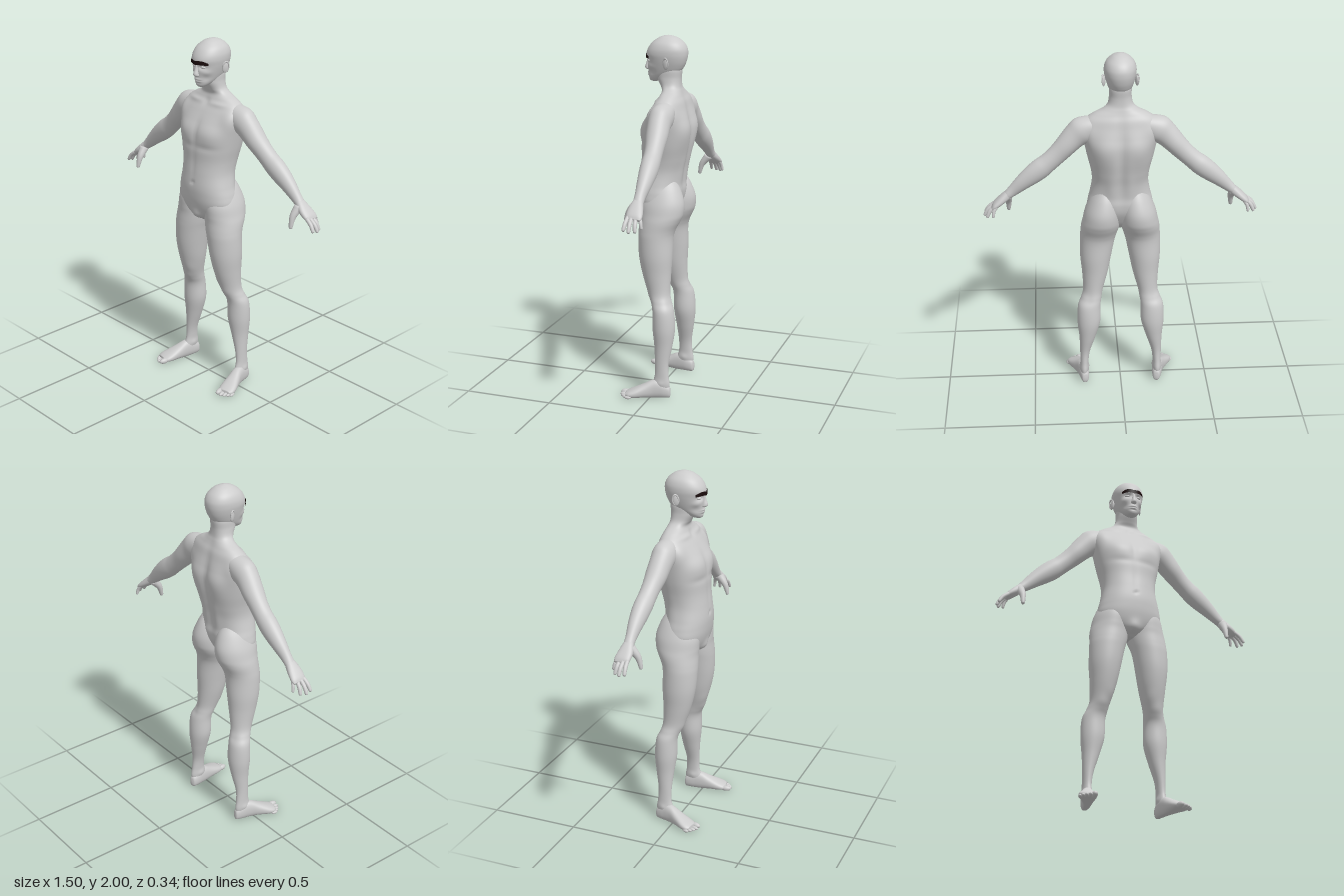
import * as THREE from 'three';

const V = (x, y, z) => new THREE.Vector3(x, y, z);
const UP = V(0, 1, 0), FRONT = V(0, 0, 1);

// Smooth skin through cross-sections [x, y, z, halfWidth, halfDepth] that all face `axis`, listed along it.
function loft(sections, { axis = UP, ref = FRONT, steps = 48, sides = 40, n = 2 } = {}) {
  const t = axis.clone().normalize();
  const u = V().crossVectors(t, ref).normalize();
  const v = V().crossVectors(u, t);
  const centres = new THREE.CatmullRomCurve3(sections.map(s => V(s[0], s[1], s[2])), false, 'catmullrom', 0.5);
  const radii = new THREE.CatmullRomCurve3(sections.map(s => V(s[3], s[4], 0)), false, 'catmullrom', 0.5);
  const pos = [], index = [];
  const bend = c => Math.sign(c) * Math.abs(c) ** (2 / n);
  for (let i = 0; i <= steps; i++) {
    const c = centres.getPoint(i / steps), r = radii.getPoint(i / steps);
    for (let j = 0; j < sides; j++) {
      const a = j / sides * Math.PI * 2;
      const p = c.clone().addScaledVector(u, bend(Math.cos(a)) * r.x).addScaledVector(v, bend(Math.sin(a)) * r.y);
      pos.push(p.x, p.y, p.z);
      if (i === steps) continue;
      const k = i * sides + j, m = i * sides + (j + 1) % sides;
      index.push(k, k + sides, m, m, k + sides, m + sides);
    }
  }
  // end caps
  const first = pos.length / 3, top = steps * sides;
  const a = centres.getPoint(0), b = centres.getPoint(1);
  pos.push(a.x, a.y, a.z, b.x, b.y, b.z);
  for (let j = 0; j < sides; j++) {
    const m = (j + 1) % sides;
    index.push(first, j, m, first + 1, top + m, top + j);
  }
  const g = new THREE.BufferGeometry();
  g.setAttribute('position', new THREE.Float32BufferAttribute(pos, 3));
  g.setIndex(index);
  g.computeVertexNormals();
  return g;
}

// Rows [y, x0, x1, zBack, zFront] to loft sections; rows [y, half, zBack, zFront] for centred parts.
const spans = rows => rows.map(([y, x0, x1, zb, zf]) => [(x0 + x1) / 2, y, (zb + zf) / 2, (x1 - x0) / 2, (zf - zb) / 2]);
const centred = rows => spans(rows.map(([y, h, zb, zf]) => [y, -h, h, zb, zf]));

// Push the surface along its normals by soft bumps [x, y, z, rx, ry, rz, amount], mirrored in x.
function sculpt(g, bumps) {
  const p = g.attributes.position, q = g.attributes.normal;
  for (let i = 0; i < p.count; i++) {
    const x = Math.abs(p.getX(i)), y = p.getY(i), z = p.getZ(i);
    let d = 0;
    for (const [bx, by, bz, rx, ry, rz, amount] of bumps)
      d += amount * Math.exp(-(((x - bx) / rx) ** 2) - ((y - by) / ry) ** 2 - ((z - bz) / rz) ** 2);
    p.setXYZ(i, p.getX(i) + q.getX(i) * d, y + q.getY(i) * d, z + q.getZ(i) * d);
  }
  g.computeVertexNormals();
  return g;
}

function mirrored(geometry) {
  const g = geometry.clone(), p = g.attributes.position, ix = g.index;
  for (let i = 0; i < p.count; i++) p.setX(i, -p.getX(i));
  for (let i = 0; i < ix.count; i += 3) {
    const s = ix.getX(i);
    ix.setX(i, ix.getX(i + 1));
    ix.setX(i + 1, s);
  }
  g.computeVertexNormals();
  return g;
}

const blob = (x, y, z, rx, ry, rz, turn = 0) =>
  new THREE.SphereGeometry(1, 20, 14).scale(rx, ry, rz).rotateY(turn).translate(x, y, z);

// Finger through three points, from radius `base` to radius r.
function finger(a, b, c, r, base = r) {
  const A = V(...a), C = V(...c), axis = C.clone().sub(A).normalize();
  const tip = C.clone().addScaledVector(axis, -r * 0.6), mid = (r * 2 + base) / 3;
  return loft([[...a, base, base], [...b, mid, mid], [tip.x, tip.y, tip.z, r * 0.8, r * 0.8], [...c, r * 0.15, r * 0.15]],
    { axis, steps: 16, sides: 16 });
}

export function createModel() {
  const skin = new THREE.MeshStandardMaterial({ color: 0xcccccc });
  skin.name = 'grey skin';
  const dark = new THREE.MeshStandardMaterial({ color: 0x1a0c0c, side: THREE.DoubleSide });
  dark.name = 'dark brow';
  const body = new THREE.Group();
  body.name = 'figure';
  const add = (name, g, material = skin) => {
    const m = new THREE.Mesh(g, material);
    m.name = name;
    body.add(m);
  };
  const pair = (name, g) => {
    add('left' + name, g);
    add('right' + name, mirrored(g));
  };

  // Torso and neck with chest, shoulder blades, spine and navel
  const torso = loft(centred([
    [0.98, 0.02, -0.03, 0.045], [1.01, 0.085, -0.06, 0.085], [1.05, 0.155, -0.085, 0.104], [1.1, 0.182, -0.108, 0.118],
    [1.15, 0.177, -0.116, 0.125], [1.2, 0.165, -0.113, 0.127], [1.27, 0.154, -0.122, 0.121], [1.34, 0.16, -0.14, 0.114],
    [1.42, 0.178, -0.156, 0.112], [1.5, 0.194, -0.161, 0.102], [1.56, 0.203, -0.15, 0.078], [1.61, 0.202, -0.138, 0.05],
    [1.65, 0.183, -0.128, 0.024], [1.68, 0.143, -0.115, 0.007], [1.705, 0.094, -0.106, 0.001], [1.73, 0.068, -0.099, 0.014],
    [1.77, 0.06, -0.097, 0.035], [1.81, 0.06, -0.101, 0.04], [1.84, 0.055, -0.1, 0.04],
  ]), { steps: 140, sides: 96, n: 2.25 });
  add('torso', sculpt(torso, [
    [0.085, 1.5, 0.09, 0.075, 0.06, 0.06, 0.011], [0, 1.5, 0.1, 0.018, 0.08, 0.05, -0.005],
    [0.08, 1.425, 0.11, 0.08, 0.018, 0.05, -0.004], [0.09, 1.5, -0.15, 0.06, 0.09, 0.06, 0.013],
    [0, 1.42, -0.15, 0.028, 0.24, 0.06, -0.012], [0, 1.22, 0.13, 0.01, 0.01, 0.04, -0.008],
    [0, 1.32, 0.12, 0.014, 0.08, 0.05, -0.003], [0.05, 1.25, -0.11, 0.03, 0.09, 0.05, 0.006],
    [0, 1.03, 0.09, 0.03, 0.03, 0.04, 0.012], [0.09, 1.655, 0.02, 0.06, 0.012, 0.04, 0.005],
    [0, 1.66, 0.02, 0.02, 0.02, 0.04, -0.006], [0.175, 1.59, 0.02, 0.04, 0.06, 0.05, 0.012],
    [0.175, 1.58, -0.12, 0.04, 0.06, 0.05, 0.01],
  ]));

  // Head with eye sockets, cheeks, lips and chin
  const head = loft(centred([
    [1.748, 0.008, 0.04, 0.066], [1.754, 0.024, 0.02, 0.077], [1.766, 0.038, -0.01, 0.083], [1.785, 0.052, -0.055, 0.087],
    [1.81, 0.063, -0.096, 0.088], [1.84, 0.073, -0.116, 0.09], [1.87, 0.081, -0.127, 0.092], [1.9, 0.086, -0.132, 0.096],
    [1.93, 0.084, -0.129, 0.086], [1.96, 0.071, -0.112, 0.064], [1.985, 0.044, -0.08, 0.03], [1.996, 0.02, -0.05, 0.002],
    [2.0, 0.003, -0.026, -0.02],
  ]), { steps: 100, sides: 72, n: 2.15 });
  add('head', sculpt(head, [
    [0.033, 1.864, 0.085, 0.02, 0.013, 0.03, -0.011], [0.048, 1.835, 0.065, 0.02, 0.016, 0.03, 0.004],
    [0, 1.796, 0.09, 0.02, 0.005, 0.03, 0.005], [0, 1.784, 0.09, 0.017, 0.005, 0.03, 0.004],
    [0, 1.79, 0.09, 0.022, 0.002, 0.03, -0.003], [0, 1.774, 0.088, 0.02, 0.005, 0.03, -0.003],
    [0.045, 1.8, 0.06, 0.02, 0.02, 0.03, -0.004],
  ]));
  add('nose', loft(centred([
    [1.81, 0.008, 0.07, 0.093], [1.816, 0.016, 0.07, 0.105], [1.827, 0.015, 0.07, 0.109],
    [1.85, 0.01, 0.07, 0.101], [1.875, 0.008, 0.07, 0.095], [1.893, 0.006, 0.07, 0.092],
  ]), { steps: 24, sides: 24 }));
  pair('Eyelid', blob(0.033, 1.863, 0.072, 0.015, 0.008, 0.01, 0.3));
  pair('Ear', blob(0.086, 1.854, -0.037, 0.007, 0.03, 0.018, -0.35));
  pair('EarRim', new THREE.TorusGeometry(0.017, 0.0035, 10, 28).scale(0.95, 1.65, 1)
    .rotateY(Math.PI / 2 - 0.4).rotateZ(-0.12).translate(0.09, 1.857, -0.039));

  // Dark brow band wrapped round the forehead
  const brow = new THREE.PlaneGeometry(0.13, 0.022, 32, 2), bp = brow.attributes.position;
  for (let i = 0; i < bp.count; i++) {
    const x = bp.getX(i), a = Math.abs(x);
    const arch = 0.005 * Math.sin(Math.min(a / 0.065, 1) * Math.PI) - 0.15 * Math.max(0, a - 0.045);
    bp.setXYZ(i, x, 1.885 + arch + bp.getY(i) * (1 - 0.4 * (a / 0.065) ** 4),
      -0.017 + 0.117 * (1 - (a / 0.087) ** 2.15) ** (1 / 2.15));
  }
  brow.computeVertexNormals();
  add('brow', brow, dark);

  // Arms from inside the shoulder to the wrist
  const along = V(0.78, -0.62, 0);
  pair('Arm', sculpt(loft([
    [0.07, 1.645, -0.058, 0.02, 0.03], [0.125, 1.622, -0.056, 0.053, 0.054], [0.192, 1.588, -0.055, 0.078, 0.065],
    [0.246, 1.551, -0.056, 0.067, 0.061], [0.326, 1.467, -0.066, 0.055, 0.051], [0.385, 1.412, -0.072, 0.052, 0.048],
    [0.43, 1.376, -0.075, 0.056, 0.049], [0.475, 1.341, -0.077, 0.053, 0.046], [0.53, 1.297, -0.078, 0.043, 0.038],
    [0.58, 1.252, -0.077, 0.032, 0.029], [0.61, 1.226, -0.077, 0.025, 0.028], [0.63, 1.21, -0.077, 0.018, 0.026],
  ], { axis: along, steps: 64 }), [[0.3, 1.49, -0.02, 0.05, 0.05, 0.03, 0.005], [0.28, 1.5, -0.115, 0.05, 0.05, 0.03, 0.004]]));

  // Hands: palm, four fingers and thumb
  pair('Palm', loft([
    [0.59, 1.243, -0.077, 0.02, 0.022], [0.615, 1.222, -0.076, 0.024, 0.03], [0.65, 1.193, -0.077, 0.022, 0.041],
    [0.68, 1.169, -0.081, 0.017, 0.043], [0.697, 1.155, -0.083, 0.008, 0.036],
  ], { axis: along, steps: 24, sides: 28, n: 2.3 }));
  [
    [0.683, 1.168, -0.05, 0.742, 1.106, -0.043], [0.688, 1.164, -0.07, 0.746, 1.099, -0.073],
    [0.682, 1.166, -0.091, 0.73, 1.099, -0.102], [0.67, 1.172, -0.11, 0.696, 1.11, -0.126],
  ].forEach(([ax, ay, az, cx, cy, cz], i) => pair('Finger' + (i + 1),
    finger([ax, ay, az], [(ax + cx) / 2 + 0.005, (ay + cy) / 2 + 0.004, (az + cz) / 2], [cx, cy, cz], i === 3 ? 0.0095 : 0.011)));
  pair('Thumb', finger([0.618, 1.212, -0.064], [0.611, 1.162, -0.024], [0.612, 1.1, -0.004], 0.013, 0.027));

  // Legs with buttock, kneecap, calf and ankle
  pair('Leg', sculpt(loft(spans([
    [0.04, 0.192, 0.232, -0.1, -0.01], [0.08, 0.187, 0.237, -0.107, -0.008], [0.13, 0.187, 0.235, -0.1, -0.02],
    [0.2, 0.177, 0.235, -0.098, -0.02], [0.3, 0.145, 0.238, -0.114, -0.012], [0.4, 0.117, 0.247, -0.125, 0.0],
    [0.5, 0.115, 0.243, -0.117, 0.002], [0.55, 0.108, 0.224, -0.1, 0.016], [0.6, 0.098, 0.211, -0.088, 0.038],
    [0.7, 0.07, 0.216, -0.088, 0.072], [0.8, 0.05, 0.225, -0.093, 0.093], [0.9, 0.03, 0.225, -0.094, 0.1],
    [0.95, 0.016, 0.222, -0.105, 0.1], [1.0, 0.003, 0.217, -0.13, 0.098], [1.04, 0.001, 0.208, -0.145, 0.1],
    [1.1, 0.002, 0.194, -0.147, 0.1], [1.17, 0.012, 0.165, -0.124, 0.08], [1.23, 0.04, 0.13, -0.09, 0.05],
  ]), { steps: 110, sides: 48 }), [
    [0.155, 0.57, 0.03, 0.03, 0.035, 0.04, 0.005], [0.12, 0.64, 0.03, 0.03, 0.04, 0.05, 0.004],
    [0.18, 0.55, -0.1, 0.025, 0.06, 0.03, -0.004], [0.24, 0.085, -0.06, 0.02, 0.016, 0.02, 0.004],
    [0.186, 0.09, -0.055, 0.02, 0.016, 0.02, 0.004],
  ]));

  // Feet, flat underneath, with five toes
  const foot = loft([
    [0.206, 0.03, -0.111, 0.006, 0.01], [0.207, 0.035, -0.104, 0.019, 0.032], [0.211, 0.043, -0.075, 0.027, 0.044],
    [0.217, 0.05, -0.04, 0.03, 0.053], [0.225, 0.047, -0.005, 0.033, 0.051], [0.238, 0.037, 0.035, 0.04, 0.04],
    [0.253, 0.026, 0.08, 0.048, 0.029], [0.262, 0.02, 0.112, 0.047, 0.02], [0.265, 0.018, 0.132, 0.035, 0.012],
  ], { axis: V(0.2, 0, 0.98), ref: UP, steps: 50, sides: 36, n: 2.3 });
  const fp = foot.attributes.position;
  for (let i = 0; i < fp.count; i++) fp.setY(i, Math.max(fp.getY(i), 0.002));
  foot.computeVertexNormals();
  pair('Foot', foot);
  [[0.237, 0.141, 0.016, 0.03], [0.26, 0.143, 0.011, 0.025], [0.278, 0.134, 0.01, 0.023],
    [0.293, 0.122, 0.0095, 0.021], [0.305, 0.107, 0.009, 0.019]].forEach(([x, z, r, l], i) =>
    pair('Toe' + (i + 1), blob(x, r, z, r, r, l, 0.2)));

  return body;
}
